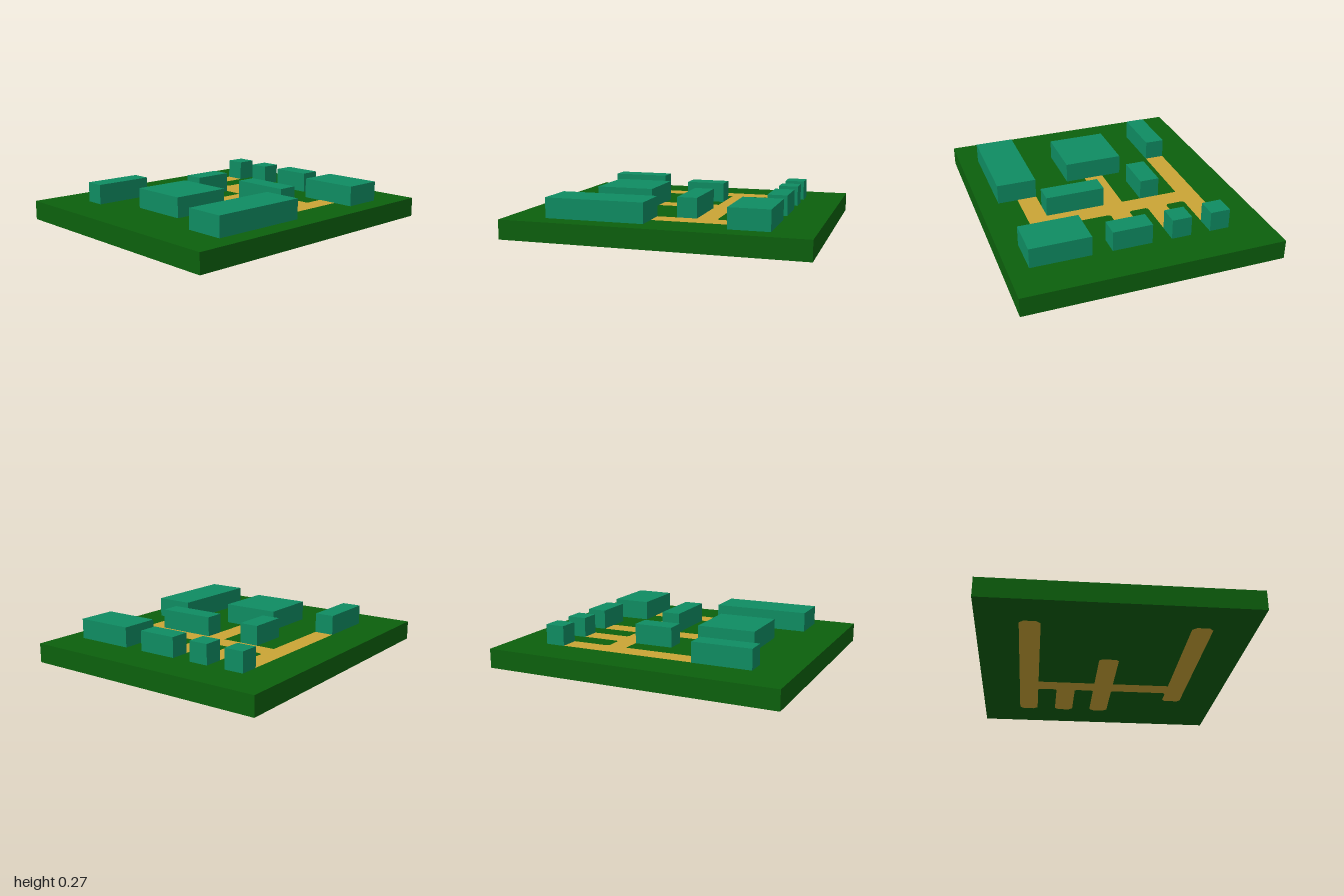
import * as THREE from 'three';

const U = 1 / 15; // layout module

export function createModel() {
  const model = new THREE.Group();
  model.name = 'siteModel';

  const paint = (name, color) => Object.assign(new THREE.MeshStandardMaterial({ color }), { name });
  const grass = paint('grassGreen', 0x0c600d);
  const teal = paint('blockTeal', 0x0f8c62);
  const sand = paint('pathSand', 0xcaa535);

  const add = (name, geometry, material, x = 0, y = 0, z = 0) => {
    const mesh = new THREE.Mesh(geometry, material);
    mesh.name = name;
    mesh.position.set(x, y, z);
    model.add(mesh);
    return mesh;
  };

  // Ground slab, a hair thinner than the paths that cover both faces
  const gap = 0.0015;
  add('groundSlab', new THREE.BoxGeometry(26 * U, 2 * U - 2 * gap, 30 * U), grass, 0, U, 0);

  // Path network outline: x, z, corner cut (in modules)
  const outline = [
    [-9, -11, 0.4], [-7, -11, 0.4], [-7, -5, 0.2], [-5, -5, 0.2],
    [-5, -11, 0.4], [-3, -11, 0.4], [-3, -5, 0.2], [-1, -5, 0.2],
    [-1, -11, 0.4], [1, -11, 0.4], [1, -5, 0.2], [7, -5, 0.2],
    [7, -7.3, 0.3], [9, -7.3, 0.3], [9, 11, 0.4], [7, 11, 0.4],
    [7, -3, 0], [1, -3, 0], [1, 3.3, 0.3], [-1, 3.3, 0.3],
    [-1, -3, 0], [-7, -3, 0], [-7, 11, 0.4], [-9, 11, 0.4],
  ];

  // Cut each corner and mirror z when the face looks up
  const pathShape = (zSign) => {
    const points = [];
    const n = outline.length;
    outline.forEach(([x, z, cut], i) => {
      const corner = new THREE.Vector2(x, z);
      const neighbours = [outline[(i + n - 1) % n], outline[(i + 1) % n]];
      for (const [nx, nz] of cut ? neighbours : neighbours.slice(1)) {
        const step = new THREE.Vector2(nx, nz).sub(corner).setLength(cut);
        const p = corner.clone().add(step);
        points.push(new THREE.Vector2(p.x * U, p.y * U * zSign));
      }
    });
    return new THREE.Shape(points);
  };

  // Paths show on the top and on the underside
  add('pathTop', new THREE.ShapeGeometry(pathShape(-1)).rotateX(-Math.PI / 2), sand, 0, 2 * U, 0);
  add('pathUnderside', new THREE.ShapeGeometry(pathShape(1)).rotateX(Math.PI / 2), sand, 0, 0, 0);

  // Raised blocks: x0, x1, z0, z1 (in modules)
  const blocks = [
    [-9, -7, -11, -9], [-5, -3, -11, -9], [-1, 3, -11, -9],
    [5, 11, -11, -7], [-5, -3, -3, 1], [1, 7, -3, -1],
    [-3, 3, 3, 9], [7, 11, 1, 11], [-9, -7, 5, 11],
  ];
  blocks.forEach(([x0, x1, z0, z1], i) => {
    const box = new THREE.BoxGeometry((x1 - x0) * U, 2 * U + gap, (z1 - z0) * U);
    add(`building${i + 1}`, box, teal, ((x0 + x1) / 2) * U, 3 * U - gap / 2, ((z0 + z1) / 2) * U);
  });

  return model;
}
